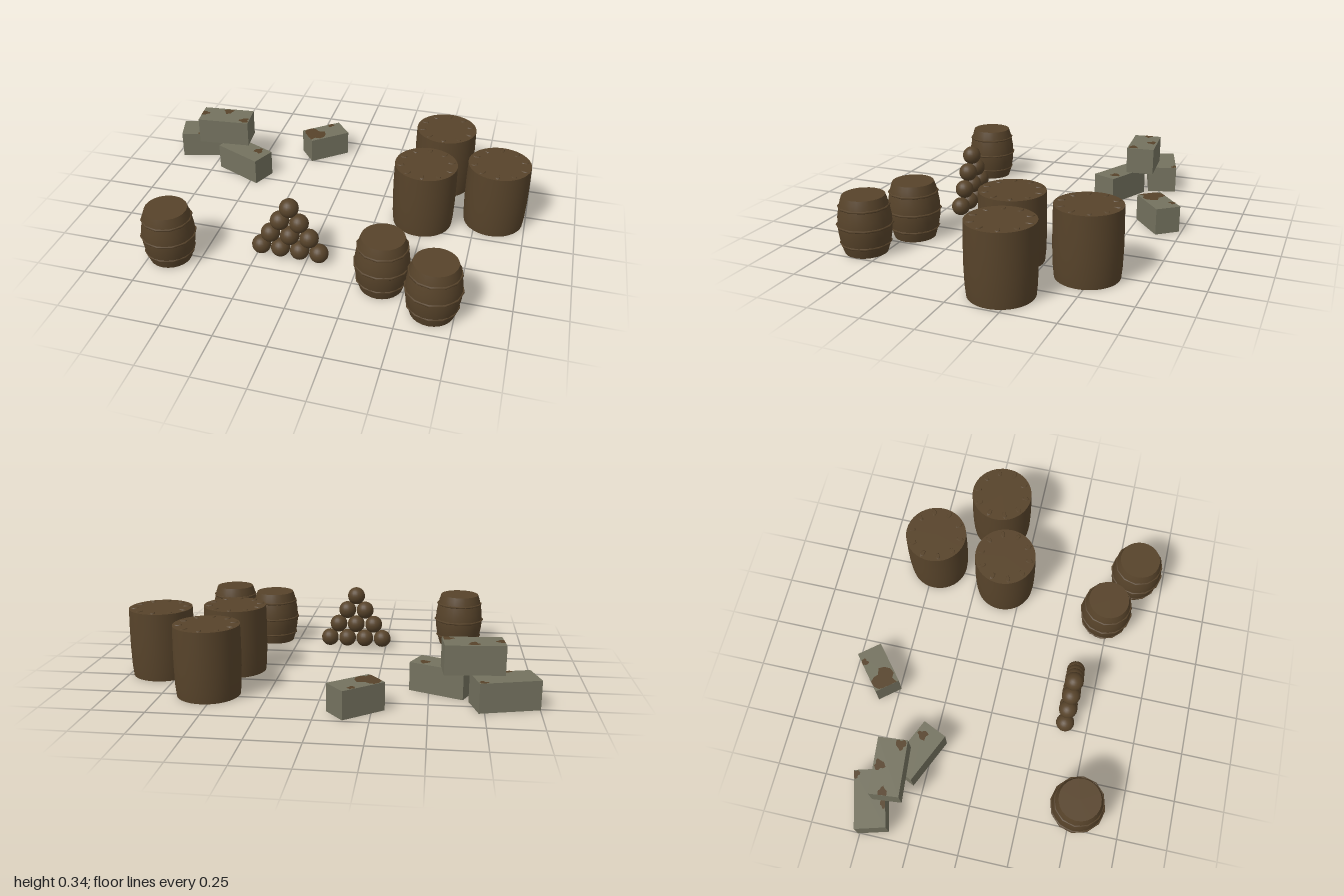
import * as THREE from 'three';

const wood = new THREE.MeshStandardMaterial({ color: 0x57432a });
wood.name = 'dark brown';
const stone = new THREE.MeshStandardMaterial({ color: 0x74725f });
stone.name = 'grey stone';

function add(parent, name, geometry, material, x = 0, y = 0, z = 0) {
  const mesh = new THREE.Mesh(geometry, material);
  mesh.name = name;
  mesh.position.set(x, y, z);
  parent.add(mesh);
  return mesh;
}

function place(parent, name, x, y, z, turn = 0) {
  const group = new THREE.Group();
  group.name = name;
  group.position.set(x, y, z);
  group.rotation.y = turn;
  parent.add(group);
  return group;
}

const lathe = (profile, sides) =>
  new THREE.LatheGeometry(profile.map(([r, y]) => new THREE.Vector2(r, y)), sides);

// Wide tub: slightly bowed wall, flat ends, low chips around the lid
function tub(parent, x, z) {
  const g = place(parent, 'tub', x, 0, z);
  add(g, 'tubWall', lathe([[0.15, 0], [0.155, 0.05], [0.158, 0.14], [0.158, 0.24], [0.156, 0.34]], 40), wood);
  add(g, 'tubLid', new THREE.CircleGeometry(0.156, 40), wood, 0, 0.34, 0).rotation.x = -Math.PI / 2;
  add(g, 'tubBase', new THREE.CircleGeometry(0.15, 40), wood).rotation.x = Math.PI / 2;
  const chip = new THREE.CylinderGeometry(0.012, 0.016, 0.005, 5);
  for (let i = 0; i < 10; i++) {
    const a = (i / 10) * Math.PI * 2;
    const c = add(g, 'lidChip', chip, wood, Math.sin(a) * 0.128, 0.3415, Math.cos(a) * 0.128);
    c.rotation.y = a;
    c.scale.set(0.8, 1, 1.4);
  }
}

// Bulging barrel with twelve-sided hoops
function barrel(parent, x, z) {
  const g = place(parent, 'barrel', x, 0, z);
  const profile = [[0.102, 0], [0.11, 0.025], [0.118, 0.055], [0.126, 0.1], [0.128, 0.14],
    [0.126, 0.18], [0.118, 0.227], [0.11, 0.258], [0.102, 0.282]];
  add(g, 'barrelBody', lathe(profile, 24), wood);
  add(g, 'barrelTop', new THREE.CircleGeometry(0.102, 24), wood, 0, 0.282, 0).rotation.x = -Math.PI / 2;
  add(g, 'barrelBase', new THREE.CircleGeometry(0.102, 24), wood).rotation.x = Math.PI / 2;
  for (const [y, r] of [[0.05, 0.118], [0.141, 0.13], [0.232, 0.118]]) {
    add(g, 'barrelHoop', new THREE.TorusGeometry(r, 0.006, 6, 12), wood, 0, y, 0).rotation.x = Math.PI / 2;
  }
}

// Stone block with irregular stains, each [along, across, radius], trimmed to the top face
function block(parent, x, y, z, [l, h, w], degrees, stains) {
  const g = place(parent, 'stoneBlock', x, y, z, THREE.MathUtils.degToRad(degrees));
  add(g, 'blockBody', new THREE.BoxGeometry(l, h, w), stone, 0, h / 2, 0);
  for (const [u, v, r] of stains) {
    const points = [];
    for (let i = 0; i < 14; i++) {
      const a = (i / 14) * Math.PI * 2;
      const k = r * (1 + 0.22 * Math.sin(3 * a + u * 40) + 0.15 * Math.cos(5 * a + v * 60));
      points.push(new THREE.Vector2(
        THREE.MathUtils.clamp(u + Math.cos(a) * k, -l / 2, l / 2),
        THREE.MathUtils.clamp(-v + Math.sin(a) * k, -w / 2, w / 2)));
    }
    const stain = new THREE.ShapeGeometry(new THREE.Shape(points));
    add(g, 'stain', stain, wood, 0, h + 0.0015, 0).rotation.x = -Math.PI / 2;
  }
}

export function createModel() {
  const model = new THREE.Group();
  model.name = 'barrelsAndStones';

  tub(model, 0.53, -0.472);
  tub(model, 0.838, -0.19);
  tub(model, 0.484, -0.093);

  barrel(model, -0.652, 0.522);
  barrel(model, 0.388, 0.474);
  barrel(model, 0.647, 0.592);

  // Flat triangular stack of balls
  const pile = place(model, 'ballPile', -0.085, 0, 0.383);
  const ball = new THREE.SphereGeometry(0.047, 20, 14);
  for (let row = 0; row < 4; row++) {
    const count = 4 - row;
    for (let i = 0; i < count; i++) {
      add(pile, 'ball', ball, wood, (i - (count - 1) / 2) * 0.097, 0.05 + row * 0.08, 0);
    }
  }

  // Stone blocks: three heaped together and one apart
  block(model, -0.843, 0, -0.473, [0.289, 0.14, 0.152], 15.6, [[0.124, -0.068, 0.02], [-0.03, 0.07, 0.02]]);
  block(model, -0.559, 0, -0.305, [0.275, 0.14, 0.132], -24, [[0.076, -0.028, 0.024]]);
  block(model, -0.698, 0.14, -0.401, [0.279, 0.14, 0.146], 5.5,
    [[0.004, -0.043, 0.025], [0.114, 0.043, 0.025], [-0.123, -0.007, 0.022]]);
  block(model, -0.179, 0, -0.615, [0.228, 0.134, 0.13], 39.3, [[-0.075, 0, 0.062], [0.056, -0.051, 0.018]]);

  return model;
}
